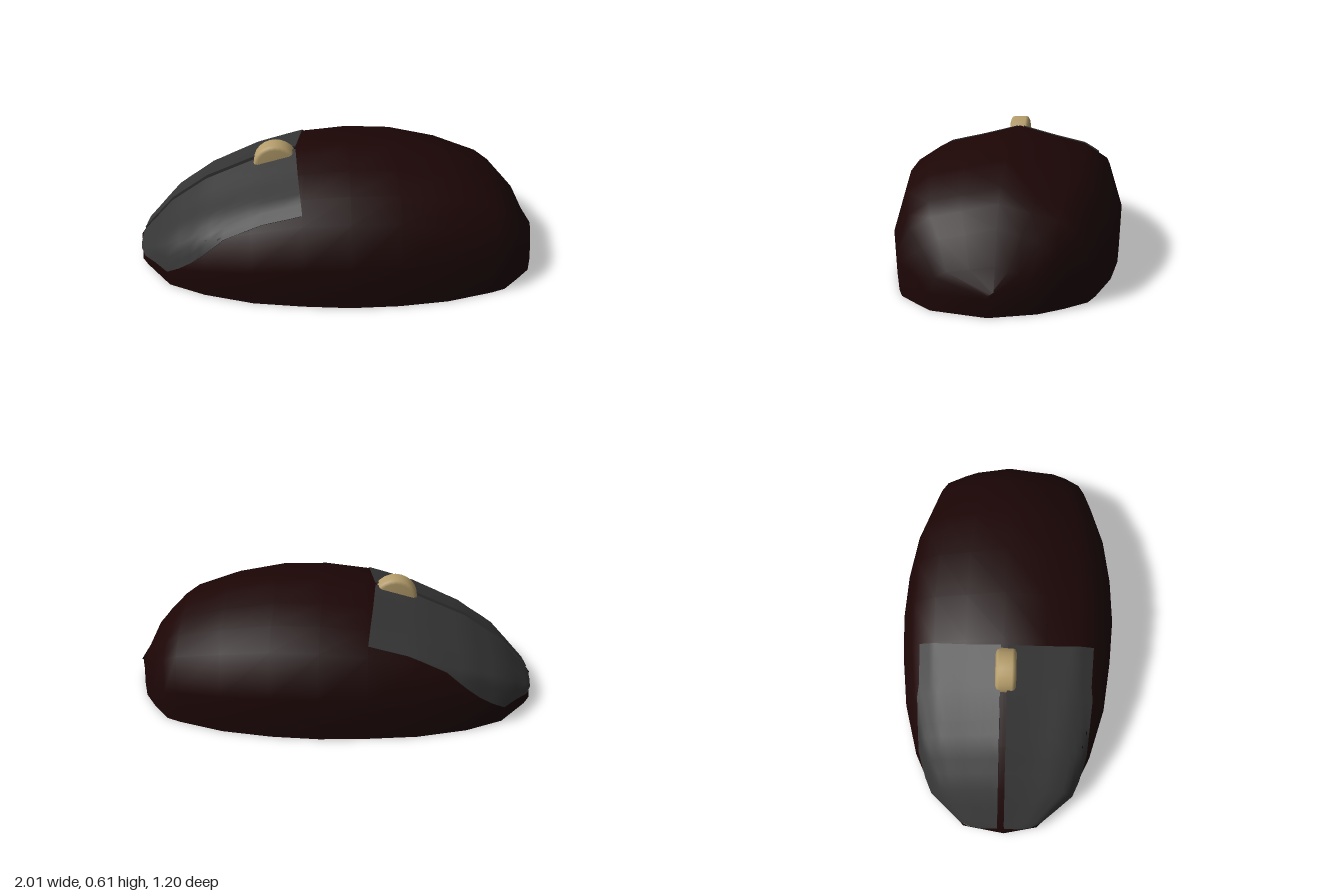
import * as THREE from 'three';
import { toCreasedNormals } from 'three/addons/utils/BufferGeometryUtils.js';

// Stations along the body: [position, half width, height, sideways centre]; the nose is at negative positions
const STATIONS = [
  [-1.017, 0, 0.075, 0.016], [-0.985, 0.184, 0.115, -0.004], [-0.83, 0.35, 0.285, 0.002],
  [-0.65, 0.437, 0.41, 0.002], [-0.41, 0.504, 0.515, 0.007], [-0.165, 0.533, 0.582, 0.01],
  [0.06, 0.547, 0.605, 0.013], [0.29, 0.536, 0.6, 0.015], [0.53, 0.502, 0.552, 0.018],
  [0.75, 0.435, 0.475, 0.022], [0.82, 0.405, 0.42, 0.024], [0.9, 0.315, 0.335, 0.033],
  [0.968, 0.225, 0.2, 0.05], [1.025, 0, 0.11, 0.027],
];
// Half cross-section from the ridge to the base: [place, width share, height share]
const SECTION = [[0, 0, 1], [0.2, 0.36, 0.915], [0.4, 0.66, 0.85], [0.6, 0.88, 0.72], [0.8, 1, 0.365], [1, 0.985, 0]];
// Outer button edge: [position, place along the cross-section]
const EDGE = [[-0.995, 0.5], [-0.96, 0.72], [-0.83, 0.83], [-0.7, 0.74], [-0.535, 0.61], [-0.35, 0.54], [-0.165, 0.52]];
// Share of the shoulder height kept towards the nose
const SHOULDER = [[-0.65, 0.965], [-0.1, 1]];

// Linear lookup in a table keyed by its first column
function lookup(table, x, column) {
  let i = 0;
  while (i < table.length - 2 && x > table[i + 1][0]) i++;
  const [a, b] = [table[i], table[i + 1]];
  return THREE.MathUtils.lerp(a[column], b[column], THREE.MathUtils.clamp((x - a[0]) / (b[0] - a[0]), 0, 1));
}

// Point on the shell; v runs from -1 (right base) over 0 (ridge) to 1 (left base)
function shell(s, v) {
  const [w, h, c] = [1, 2, 3].map((column) => lookup(STATIONS, s, column));
  const a = Math.abs(v);
  const side = Math.sign(v) * w * lookup(SECTION, a, 1);
  const keep = THREE.MathUtils.lerp(1, lookup(SHOULDER, s, 1), Math.min(1, a / 0.2));
  // The ridge keeps to the centre line while the flanks shift sideways
  return new THREE.Vector3(s, h * keep * lookup(SECTION, a, 2), side + c * Math.min(1, a / 0.4));
}

// Body vertex: the shell with a sunken groove between the buttons and a tucked-in chin
function bodyPoint(i, j) {
  const s = STATIONS[i][0];
  const p = shell(s, (j - 5) / 5);
  if (j === 5 && s > -0.9 && s < -0.2) p.y -= 0.03;
  if ((j === 0 || j === 10) && s < -0.9) p.x += 0.02;
  return p;
}

// Surface through a grid of points
function gridGeometry(rows, cols, point, crease) {
  const positions = [], index = [];
  for (let i = 0; i < rows; i++) {
    for (let j = 0; j < cols; j++) {
      positions.push(...point(i, j).toArray());
      if (i < rows - 1 && j < cols - 1) {
        const a = i * cols + j, b = a + cols;
        index.push(a, a + 1, b, b, a + 1, b + 1);
      }
    }
  }
  const geo = new THREE.BufferGeometry();
  geo.setAttribute('position', new THREE.Float32BufferAttribute(positions, 3));
  geo.setIndex(index);
  return toCreasedNormals(geo, crease);
}

function buttonGeometry(side) {
  const stops = [-0.995, -0.985, -0.96, -0.9, -0.83, -0.765, -0.7, -0.65, -0.6, -0.535, -0.41, -0.35, -0.25, -0.165];
  const n = stops.length, m = 13;
  return gridGeometry(n + 2, m + 2, (i, j) => {
    const k = side > 0 ? j : m + 1 - j;
    const u = THREE.MathUtils.clamp((k - 1) / (m - 1), 0, 1);
    const stop = stops[THREE.MathUtils.clamp(i - 1, 0, n - 1)];
    // The rear edge is drawn forward beside the wheel
    const s = stop - 0.035 * (1 - u) * Math.max(0, (stop + 0.35) / 0.185);
    const inner = Math.min(0.2, 0.009 / lookup(STATIONS, s, 1));
    const p = shell(s, side * THREE.MathUtils.lerp(inner, lookup(EDGE, stop, 1), u));
    // The outermost ring drops back to form the rim, deeper along the groove
    let lift = 0.008;
    if (i === 0 || i === n + 1 || k === m + 1) lift = 0.001;
    else if (k === 0) lift = stop > -0.85 && stop < -0.3 ? -0.02 : 0;
    const out = new THREE.Vector3((p.x + 0.2) * 0.4, p.y, p.z).normalize();
    return p.addScaledVector(out, lift);
  }, 0.8);
}

export function createModel() {
  const bodyMat = new THREE.MeshStandardMaterial({ color: 0x1c0505, side: THREE.DoubleSide });
  bodyMat.name = 'dark maroon';
  const buttonMat = new THREE.MeshStandardMaterial({ color: 0x353535, side: THREE.DoubleSide });
  buttonMat.name = 'charcoal';
  const wheelMat = new THREE.MeshStandardMaterial({ color: 0xb59d6b });
  wheelMat.name = 'tan';

  const model = new THREE.Group();
  model.name = 'computerMouse';
  const add = (name, geometry, material) => {
    const mesh = new THREE.Mesh(geometry, material);
    mesh.name = name;
    model.add(mesh);
    return mesh;
  };

  // Hollow shell, open underneath
  add('body', gridGeometry(STATIONS.length, 11, bodyPoint, 0.9), bodyMat);

  // Pair of raised click buttons with a groove between them
  add('leftButton', buttonGeometry(1), buttonMat);
  add('rightButton', buttonGeometry(-1), buttonMat);

  // Scroll wheel with softened rims
  const wheelProfile = [[0, -0.05], [0.09, -0.05], [0.105, -0.042], [0.11, -0.03], [0.11, 0.03], [0.105, 0.042], [0.09, 0.05], [0, 0.05]]
    .map(([r, y]) => new THREE.Vector2(r, y));
  const wheel = add('scrollWheel', new THREE.LatheGeometry(wheelProfile, 24), wheelMat);
  wheel.rotation.x = Math.PI / 2;
  wheel.position.set(-0.3, 0.5, 0.01);

  // The whole device rests turned a little on its base
  model.rotation.y = 0.253;
  const root = new THREE.Group();
  root.name = 'model';
  root.add(model);
  return root;
}
